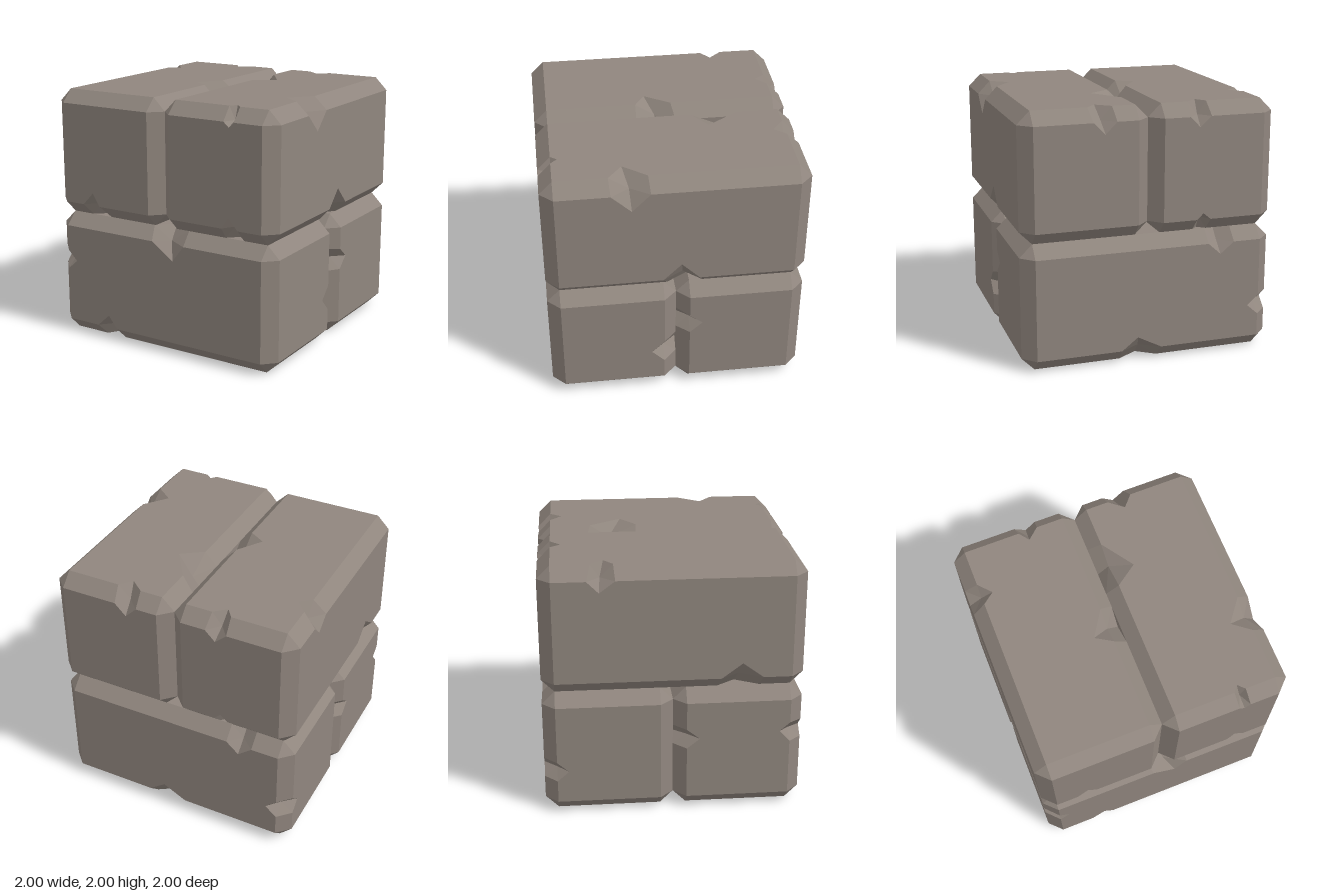
import * as THREE from 'three';

const BEVEL = 0.1;
const AXES = 'xyz';
const face = (key) => ({ axis: AXES.indexOf(key[1]), sign: key[0] === '+' ? 1 : -1 });

// A chip breaks the edge between faces f1 and f2.
// Each side is [start, end, tip, tipDepth] along the edge; mid is the deepest point.
const chip = (f1, f2, s1, s2, mid) => ({ f: [f1, f2], s: [s1, s2], mid });

// Bevelled stone block with chipped edges
function block(name, min, max, chips, material) {
  const pos = [];
  const plane = (f) => (f.sign > 0 ? max[f.axis] : min[f.axis]);

  // Adds a triangle turned towards the given outward direction
  const tri = (a, b, c, out) => {
    const n = b.clone().sub(a).cross(c.clone().sub(a));
    const order = n.dot(out) >= 0 ? [a, b, c] : [a, c, b];
    order.forEach((p) => pos.push(p.x, p.y, p.z));
  };
  const normal = (f) => new THREE.Vector3().setComponent(f.axis, f.sign);

  // Point at t along an edge, d1 and d2 inside its two faces
  const edgePoint = (f1, f2, t, d1, d2) => {
    const p = new THREE.Vector3().setComponent(3 - f1.axis - f2.axis, t);
    p.setComponent(f1.axis, plane(f1) - f1.sign * d1);
    return p.setComponent(f2.axis, plane(f2) - f2.sign * d2);
  };
  const chipsOn = (k1, k2) => chips
    .filter((c) => c.f.includes(k1) && c.f.includes(k2))
    .map((c) => (c.f[0] === k1 ? c : chip(k1, k2, c.s[1], c.s[0], c.mid)))
    .sort((a, b) => a.mid - b.mid);

  // Flat faces, notched where the edges are chipped
  for (let axis = 0; axis < 3; axis++) {
    for (const s of '+-') {
      const key = s + AXES[axis], f = face(key);
      const u = (axis + 1) % 3, v = (axis + 2) % 3;
      const outline = [];
      for (const [side, forward] of [['-' + AXES[v], true], ['+' + AXES[u], true],
        ['+' + AXES[v], false], ['-' + AXES[u], false]]) {
        const g = face(side), along = 3 - axis - g.axis;
        const line = [edgePoint(f, g, min[along] + BEVEL, 0, BEVEL)];
        for (const c of chipsOn(key, side)) {
          const [l, r, tip, depth] = c.s[0];
          line.push(edgePoint(f, g, l, 0, BEVEL), edgePoint(f, g, tip, 0, depth),
            edgePoint(f, g, r, 0, BEVEL));
        }
        line.push(edgePoint(f, g, max[along] - BEVEL, 0, BEVEL));
        if (!forward) line.reverse();
        outline.push(...line.slice(0, -1));
      }
      const flat = outline.map((p) => new THREE.Vector2(p.getComponent(u), p.getComponent(v)));
      for (const [a, b, c] of THREE.ShapeUtils.triangulateShape(flat, [])) {
        tri(outline[a], outline[b], outline[c], normal(f));
      }
    }
  }

  // Bevels, split around the chips
  for (const [a, b] of ['xy', 'xz', 'yz']) {
    for (const sa of '+-') for (const sb of '+-') {
      const k1 = sa + a, k2 = sb + b, f = face(k1), g = face(k2);
      const out = normal(f).add(normal(g)), along = 3 - f.axis - g.axis;
      const on1 = (t) => edgePoint(f, g, t, 0, BEVEL);
      const on2 = (t) => edgePoint(f, g, t, BEVEL, 0);
      const strip = (p, q) => {
        tri(on1(p[0]), on1(q[0]), on2(q[1]), out);
        tri(on1(p[0]), on2(q[1]), on2(p[1]), out);
      };
      let from = [min[along] + BEVEL, min[along] + BEVEL];
      for (const c of chipsOn(k1, k2)) {
        const [s1, s2] = c.s;
        strip(from, [s1[0], s2[0]]);
        // Broken surfaces on both sides of the valley
        const tip1 = edgePoint(f, g, s1[2], 0, s1[3]);
        const tip2 = edgePoint(f, g, s2[2], s2[3], 0);
        const deep = edgePoint(f, g, c.mid, BEVEL, BEVEL);
        for (const i of [0, 1]) {
          const p = on1(s1[i]), q = on2(s2[i]);
          tri(tip1, p, deep, out);
          tri(p, q, deep, out);
          tri(q, tip2, deep, out);
        }
        from = [s1[1], s2[1]];
      }
      strip(from, [max[along] - BEVEL, max[along] - BEVEL]);
    }
  }

  // Corner triangles
  for (const sx of [-1, 1]) for (const sy of [-1, 1]) for (const sz of [-1, 1]) {
    const signs = [sx, sy, sz];
    const pts = [0, 1, 2].map((k) => new THREE.Vector3(...signs.map((s, i) =>
      (s > 0 ? max[i] : min[i]) - (i === k ? 0 : s * BEVEL))));
    tri(...pts, new THREE.Vector3(...signs));
  }

  const geometry = new THREE.BufferGeometry();
  geometry.setAttribute('position', new THREE.Float32BufferAttribute(pos, 3));
  geometry.computeVertexNormals();
  const mesh = new THREE.Mesh(geometry, material);
  mesh.name = name;
  return mesh;
}

export function createModel() {
  const stone = new THREE.MeshStandardMaterial({ color: 0x90867e });
  stone.name = 'stone';
  const group = new THREE.Group();
  group.name = 'stoneBlocks';

  // Upper pair, running front to back
  group.add(block('upperLeftBlock', [0, 1, -1], [1, 2, 1], [
    chip('+z', '+y', [0.58, 0.67, 0.625, 0.14], [0.57, 0.66, 0.61, 0.15], 0.62),
    chip('+z', '-y', [0.56, 0.7, 0.62, 0.19], [0.54, 0.7, 0.62, 0.18], 0.62),
    chip('+x', '+y', [0.2, 0.49, 0.34, 0.24], [0.21, 0.5, 0.39, 0.24], 0.35),
    chip('+x', '-y', [-0.17, 0.11, -0.03, 0.24], [-0.2, 0.07, -0.09, 0.2], -0.05),
    chip('+y', '-z', [0.28, 0.47, 0.39, 0.19], [0.27, 0.45, 0.36, 0.19], 0.37),
    chip('+y', '-x', [-0.58, -0.21, -0.33, 0.27], [-0.62, -0.22, -0.44, 0.22], -0.43),
  ], stone));
  group.add(block('upperRightBlock', [-1, 1, -1], [0, 2, 1], [
    chip('+z', '-y', [-0.73, -0.57, -0.635, 0.2], [-0.71, -0.53, -0.62, 0.18], -0.63),
    chip('+y', '-z', [-0.46, -0.31, -0.4, 0.18], [-0.47, -0.3, -0.38, 0.18], -0.39),
    chip('+y', '-x', [-0.61, -0.44, -0.51, 0.19], [-0.64, -0.43, -0.55, 0.19], -0.54),
    chip('+y', '+x', [-0.08, 0.2, 0.12, 0.23], [-0.11, 0.2, 0.02, 0.22], 0.05),
    chip('-z', '-y', [-0.48, -0.37, -0.42, 0.15], [-0.48, -0.37, -0.42, 0.15], -0.42),
    chip('-x', '-y', [0.36, 0.68, 0.52, 0.22], [0.34, 0.66, 0.48, 0.2], 0.5),
  ], stone));

  // Lower pair, running side to side
  group.add(block('lowerFrontBlock', [-1, 0, 0], [1, 1, 1], [
    chip('+z', '+y', [-0.07, 0.22, 0.12, 0.23], [-0.11, 0.21, 0.02, 0.22], 0.05),
    chip('+z', '-x', [0.54, 0.69, 0.61, 0.18], [0.55, 0.71, 0.64, 0.18], 0.62),
    chip('+z', '-y', [-0.62, -0.43, -0.51, 0.2], [-0.6, -0.42, -0.54, 0.19], -0.53),
    chip('+x', '-z', [0.27, 0.47, 0.37, 0.2], [0.28, 0.48, 0.37, 0.18], 0.36),
    chip('-x', '-z', [0.52, 0.68, 0.6, 0.2], [0.52, 0.68, 0.6, 0.18], 0.6),
    chip('-y', '-z', [0.29, 0.66, 0.46, 0.24], [0.29, 0.66, 0.48, 0.22], 0.47),
  ], stone));
  group.add(block('lowerBackBlock', [-1, 0, -1], [1, 1, 0], [
    chip('+x', '+z', [0.55, 0.72, 0.64, 0.2], [0.54, 0.73, 0.64, 0.18], 0.64),
    chip('-z', '+y', [-0.68, -0.47, -0.57, 0.19], [-0.68, -0.47, -0.57, 0.19], -0.57),
    chip('-z', '-y', [-0.09, 0.23, 0.1, 0.2], [-0.08, 0.22, 0.06, 0.2], 0.07),
    chip('-x', '-z', [0.28, 0.44, 0.36, 0.19], [0.28, 0.44, 0.36, 0.19], 0.36),
    chip('-y', '+z', [-0.62, -0.42, -0.52, 0.19], [-0.62, -0.42, -0.52, 0.18], -0.52),
  ], stone));

  return group;
}
